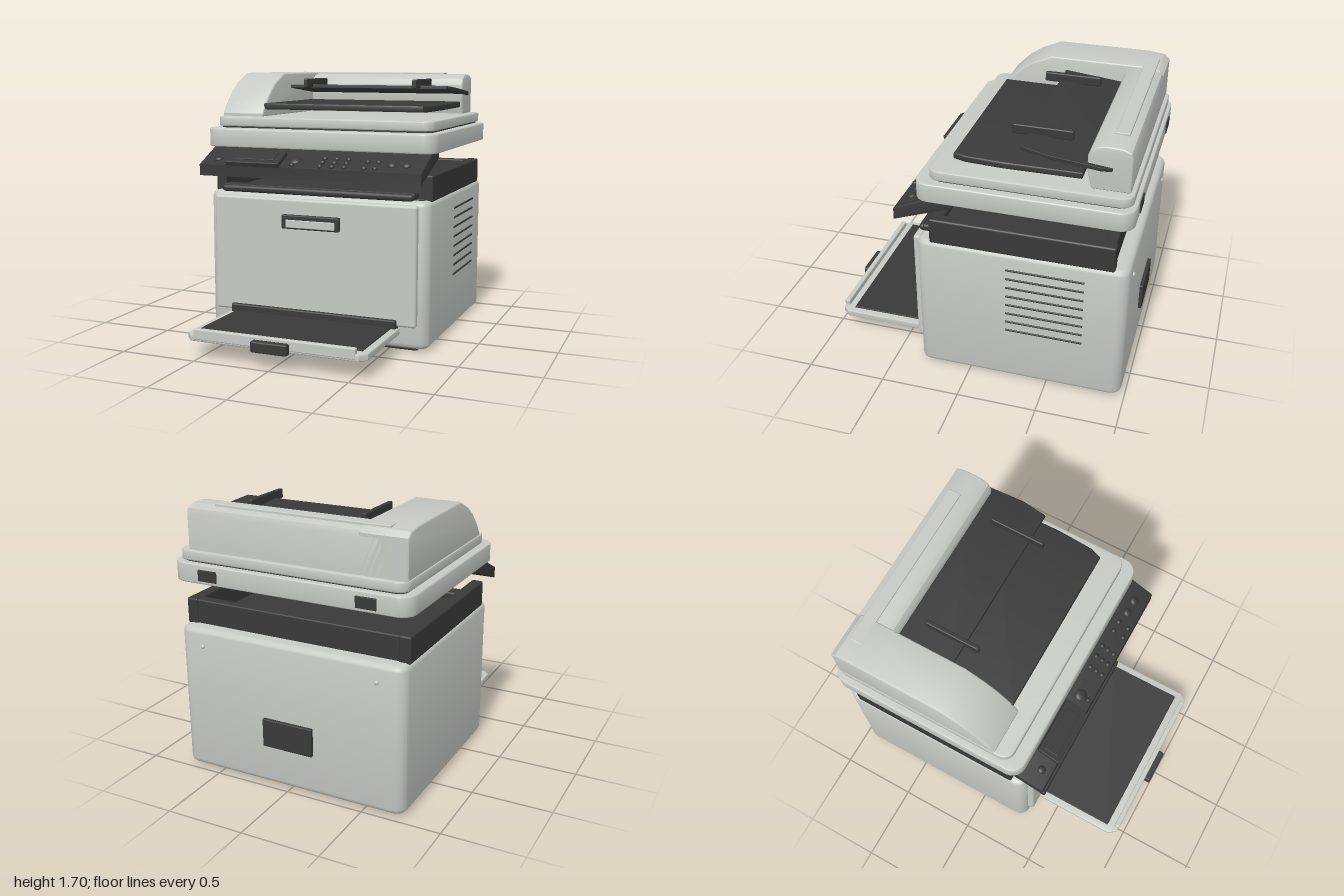
import * as THREE from 'three';
import { toCreasedNormals } from 'three/addons/utils/BufferGeometryUtils.js';
import { RoundedBoxGeometry } from 'three/addons/geometries/RoundedBoxGeometry.js';

export function createModel() {
  const root = new THREE.Group();
  root.name = 'multifunctionPrinter';
  const shell = new THREE.MeshStandardMaterial({ color: 0xc6c9c4 });
  shell.name = 'lightGrey';
  const dark = new THREE.MeshStandardMaterial({ color: 0x393939 });
  dark.name = 'charcoal';

  const add = (name, geo, mat, parent = root) => {
    const m = new THREE.Mesh(geo, mat);
    m.name = name;
    parent.add(m);
    return m;
  };

  // Box given by its limits, with softly rounded edges
  function box(name, mat, [x0, x1], [y0, y1], [z0, z1], r = 0.008, parent = root) {
    const w = x1 - x0, h = y1 - y0, d = z1 - z0;
    const geo = new RoundedBoxGeometry(w, h, d, 2, Math.min(r, w * 0.45, h * 0.45, d * 0.45));
    geo.translate((x0 + x1) / 2, (y0 + y1) / 2, (z0 + z1) / 2);
    return add(name, geo, mat, parent);
  }

  function extrude(shape, depth, bevel) {
    const geo = new THREE.ExtrudeGeometry(shape, {
      depth: depth - 2 * bevel, bevelEnabled: bevel > 0, bevelSize: bevel,
      bevelThickness: bevel, bevelOffset: -bevel, bevelSegments: 3, curveSegments: 6,
    });
    return geo.translate(0, 0, bevel);
  }

  // Plan outline of [x, z] points raised from y0 to y1
  function planGeo(shape, y0, y1, bevel) {
    return toCreasedNormals(extrude(shape, y1 - y0, bevel).rotateX(-Math.PI / 2).translate(0, y0, 0), 0.6);
  }
  const outline = (pts) => new THREE.Shape(pts.map(([x, z]) => new THREE.Vector2(x, -z)));

  // Slab with rounded vertical corners
  function slab(name, mat, [x0, x1], [y0, y1], [z0, z1], r, bevel) {
    const s = new THREE.Shape();
    s.moveTo(x0 + r, -z1);
    s.lineTo(x1 - r, -z1);
    s.absarc(x1 - r, -z1 + r, r, -Math.PI / 2, 0);
    s.lineTo(x1, -z0 - r);
    s.absarc(x1 - r, -z0 - r, r, 0, Math.PI / 2);
    s.lineTo(x0 + r, -z0);
    s.absarc(x0 + r, -z0 - r, r, Math.PI / 2, Math.PI);
    s.lineTo(x0, -z1 + r);
    s.absarc(x0 + r, -z1 + r, r, Math.PI, Math.PI * 1.5);
    return add(name, planGeo(s, y0, y1, bevel), mat);
  }

  // Side profile of [z, y] points swept from x0 to x1
  function profile(name, mat, pts, [x0, x1], bevel) {
    const s = new THREE.Shape(pts.map(([z, y]) => new THREE.Vector2(z, y)));
    const geo = extrude(s, x1 - x0, bevel).rotateY(-Math.PI / 2).translate(x1, 0, 0);
    return add(name, toCreasedNormals(geo, 0.5), mat);
  }

  // Main body and base
  slab('body', shell, [-0.755, 0.755], [0.015, 0.94], [-0.975, 0.33], 0.07, 0.035);
  box('basePlate', dark, [-0.685, 0.685], [0, 0.03], [-0.935, 0.3], 0.01);

  // Front door with recessed-looking grip
  box('frontDoor', shell, [-0.695, 0.69], [0.16, 0.92], [0.3, 0.368], 0.018);
  box('doorHandleFrame', dark, [-0.2, 0.193], [0.73, 0.82], [0.36, 0.395]);
  box('doorHandleInset', shell, [-0.17, 0.165], [0.74, 0.79], [0.385, 0.401], 0.004);

  // Side vents, right-hand side of the front picture only
  for (let i = 0; i < 8; i++) {
    const y = 0.382 + i * 0.0637;
    box('sideVent', dark, [0.75, 0.762], [y - 0.006, y + 0.006], [-0.72, -0.24], 0.004);
  }

  // Rear cover and screws
  box('rearSocketCover', dark, [-0.17, 0.165], [0.27, 0.45], [-0.997, -0.96], 0.006);
  for (const x of [-0.585, 0.585]) {
    const g = new THREE.SphereGeometry(0.014, 12, 8).scale(1, 1, 0.8).translate(x, 0.83, -0.977);
    add('rearScrew', g, shell);
  }

  // Output bay: floor, side rails, back wall and front lip
  box('bayFloor', dark, [-0.7, 0.7], [0.925, 0.95], [-0.87, 0.26], 0.005);
  for (const s of [-1, 1]) {
    const xs = s > 0 ? [0.675, 0.75] : [-0.75, -0.675];
    box('sideRail', dark, xs, [0.93, 1.095], [-0.89, 0.24], 0.012);
  }
  box('bayBackWall', dark, [-0.69, 0.69], [0.93, 1.09], [-0.88, -0.81], 0.01);
  box('bayFrontLip', dark, [-0.66, 0.66], [0.945, 0.99], [0.22, 0.315], 0.015);
  box('bayFrontRoll', dark, [-0.655, 0.655], [0.94, 0.985], [0.29, 0.34], 0.02);

  // Tilted control panel
  profile('controlPanel', dark,
    [[0.462, 1.055], [0.462, 1.128], [0.225, 1.24], [0.09, 1.24], [0.09, 1.19]], [-0.75, 0.745], 0.006);
  const panel = new THREE.Group();
  panel.name = 'panelControls';
  panel.position.set(0, 1.128, 0.462);
  panel.rotation.x = 0.442;
  root.add(panel);
  const along = (z) => (z - 0.462) / Math.cos(0.442);
  box('displayFrame', dark, [-0.555, -0.185], [-0.01, 0.028], [along(0.32), along(0.463)], 0.006, panel);
  box('displayScreen', dark, [-0.525, -0.23], [0.02, 0.033], [along(0.345), along(0.43)], 0.004, panel);
  const buttons = [[-0.64, 0.4, 0.027], [-0.105, 0.385, 0.04], [-0.105, 0.435, 0.016], [0.535, 0.385, 0.03], [0.628, 0.385, 0.03]];
  for (const z of [0.35, 0.392, 0.434]) for (const x of [0.085, 0.165, 0.245]) buttons.push([x, z, 0.018]);
  for (const z of [0.365, 0.434]) for (const x of [0.375, 0.445]) buttons.push([x, z, 0.018]);
  for (const [x, z, r] of buttons) {
    const g = new THREE.SphereGeometry(r, 16, 6, 0, Math.PI * 2, 0, Math.PI / 2);
    add('button', g.scale(1, 0.018 / r, 1).translate(x, 0, along(z)), dark, panel);
  }

  // Scanner bed and lid
  slab('scannerBed', shell, [-0.785, 0.78], [1.23, 1.35], [-0.98, 0.32], 0.09, 0.008);
  slab('lidSeam', dark, [-0.73, 0.725], [1.34, 1.37], [-0.94, 0.22], 0.06, 0);
  slab('scannerLid', shell, [-0.748, 0.742], [1.36, 1.422], [-0.96, 0.24], 0.07, 0.008);
  for (const x of [-0.52, 0.52]) box('lidHinge', dark, [x - 0.065, x + 0.065], [1.25, 1.32], [-0.987, -0.96], 0.004);

  // Document feeder: side arm and rear housing
  profile('feederArm', shell, [
    [0.14, 1.42], [0.14, 1.44], [0.1, 1.5], [0.01, 1.59], [-0.07, 1.645], [-0.2, 1.703],
    [-0.8, 1.703], [-0.9, 1.69], [-0.935, 1.66], [-0.935, 1.42]], [-0.748, -0.45], 0.014);
  profile('feederHousing', shell, [
    [-0.71, 1.42], [-0.685, 1.52], [-0.682, 1.62], [-0.7, 1.66], [-0.74, 1.685], [-0.79, 1.694],
    [-0.88, 1.69], [-0.925, 1.67], [-0.935, 1.64], [-0.935, 1.42]], [-0.6, 0.678], 0.014);
  box('feederTopCover', shell, [-0.62, 0.51], [1.68, 1.704], [-0.885, -0.8], 0.006);

  // Lower document tray
  add('lowerDocumentTray', planGeo(outline([
    [-0.46, 0.105], [0.64, 0.105], [0.665, 0.03], [0.678, -0.2], [0.67, -0.66], [-0.46, -0.66]]),
  1.468, 1.508, 0.008), dark);

  // Sloping upper document tray with paper guides
  const upperTray = add('upperDocumentTray', planGeo(outline([
    [-0.46, 0], [0.672, 0], [0.702, -0.17], [0.702, -0.47], [0.682, -0.53], [-0.46, -0.53]]),
  -0.012, 0.012, 0.005), dark);
  upperTray.position.set(0, 1.612, -0.3);
  upperTray.rotation.x = -0.105;
  for (const x of [-0.297, 0.48]) {
    box('paperGuide', dark, [x - 0.015, x + 0.015], [1.605, 1.665], [-0.565, -0.205], 0.008);
  }

  // Fold-down paper tray
  add('paperTray', planGeo(outline([
    [-0.585, 0.36], [-0.585, 0.91], [-0.545, 0.957], [0.545, 0.957], [0.585, 0.91], [0.585, 0.36]]),
  0.11, 0.152, 0.006), shell);
  box('paperTrayBed', dark, [-0.54, 0.54], [0.14, 0.16], [0.37, 0.88], 0.003);
  box('paperTrayLip', shell, [-0.525, 0.525], [0.12, 0.188], [0.925, 0.96], 0.008);
  box('paperTrayPull', dark, [-0.12, 0.115], [0.1, 0.168], [0.95, 1.0], 0.01);
  box('paperTrayHinge', dark, [-0.572, 0.568], [0.108, 0.205], [0.32, 0.393], 0.01);

  return root;
}
